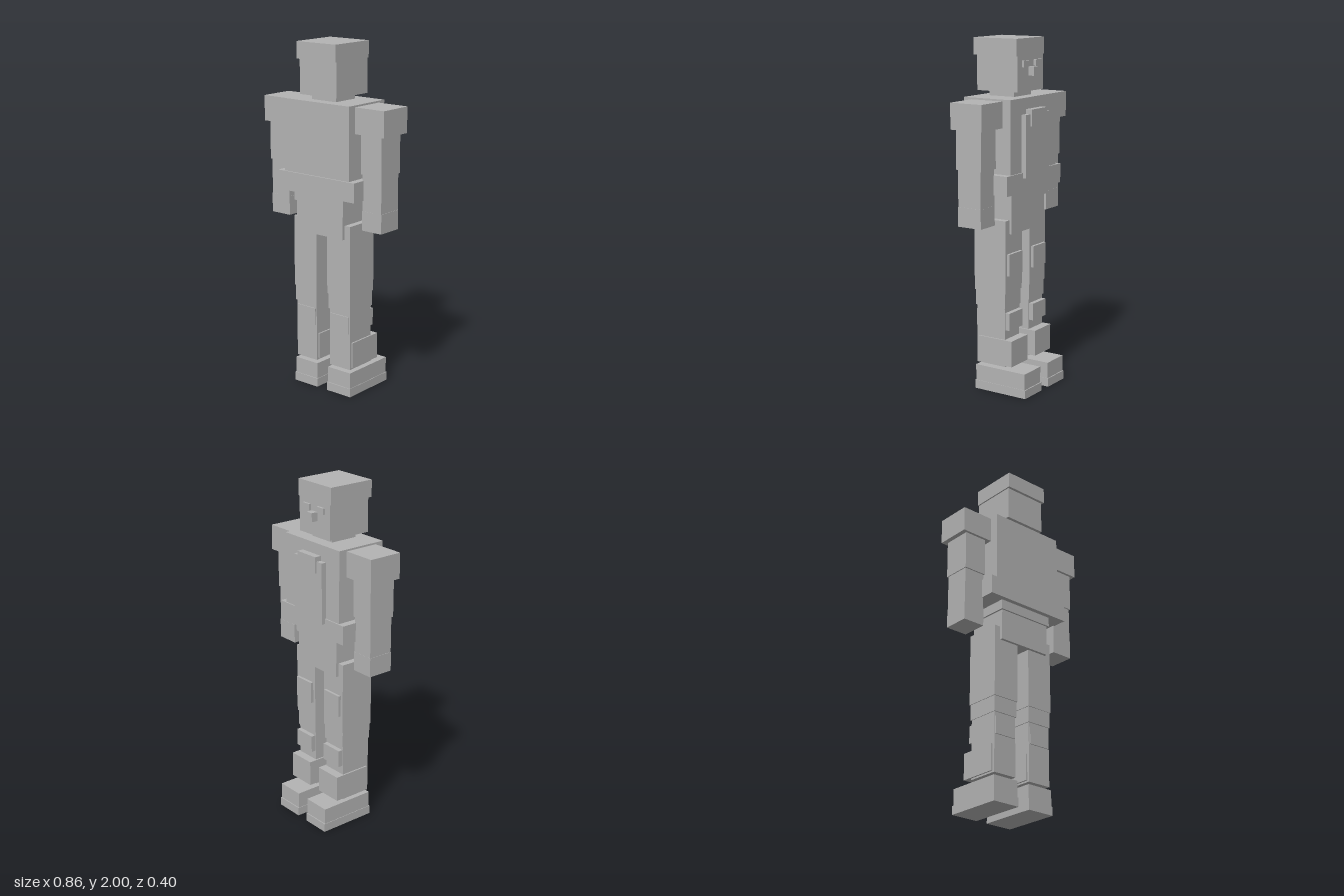
import * as THREE from 'three';

const grey = new THREE.MeshStandardMaterial({ color: 0xb3b3b3 });
grey.name = 'plain grey';

// Box given by its extents along each axis
function box(parent, name, [x0, x1], [y0, y1], [z0, z1]) {
  const mesh = new THREE.Mesh(new THREE.BoxGeometry(x1 - x0, y1 - y0, z1 - z0), grey);
  mesh.position.set((x0 + x1) / 2, (y0 + y1) / 2, (z0 + z1) / 2);
  mesh.name = name;
  parent.add(mesh);
}

// Box centred on x
const mid = (parent, name, half, y, z) => box(parent, name, [-half, half], y, z);

function group(parent, name) {
  const g = new THREE.Group();
  g.name = name;
  parent.add(g);
  return g;
}

export function createModel() {
  const model = new THREE.Group();
  model.name = 'blockFigure';

  // Head with cap and face
  const head = group(model, 'head');
  mid(head, 'skull', 0.13, [1.71, 1.905], [-0.097, 0.17]);
  mid(head, 'cap', 0.138, [1.905, 2], [-0.097, 0.187]);
  mid(head, 'nose', 0.022, [1.795, 1.845], [-0.135, -0.09]);
  mid(head, 'neck', 0.085, [1.67, 1.715], [-0.045, 0.12]);

  // Torso, chest panel, belt and hips
  const body = group(model, 'body');
  mid(body, 'torso', 0.232, [1.2, 1.68], [-0.118, 0.188]);
  mid(body, 'chestPanel', 0.12, [1.24, 1.59], [-0.147, -0.11]);
  mid(body, 'chestClasp', 0.077, [1.525, 1.617], [-0.157, -0.11]);
  mid(body, 'belt', 0.275, [1.16, 1.27], [-0.126, 0.198]);
  mid(body, 'waist', 0.177, [1.105, 1.17], [-0.09, 0.17]);
  mid(body, 'hips', 0.167, [0.927, 1.11], [-0.083, 0.16]);

  // Mirrored parts
  for (const [s, side] of [[1, 'left'], [-1, 'right']]) {
    const pair = (parent, name, a, b, y, z) =>
      box(parent, name, s > 0 ? [a, b] : [-b, -a], y, z);

    pair(head, side + 'Eye', 0.032, 0.088, [1.845, 1.88], [-0.111, -0.09]);

    const arm = group(model, side + 'Arm');
    pair(arm, 'shoulder', 0.232, 0.428, [1.525, 1.67], [-0.067, 0.137]);
    pair(arm, 'upperArm', 0.262, 0.401, [1.305, 1.53], [-0.043, 0.121]);
    pair(arm, 'forearm', 0.267, 0.396, [1.095, 1.31], [-0.036, 0.113]);
    pair(arm, 'hand', 0.265, 0.398, [0.99, 1.1], [-0.037, 0.114]);

    const leg = group(model, side + 'Leg');
    pair(leg, 'thigh', 0.04, 0.205, [0.59, 1.005], [-0.067, 0.143]);
    pair(leg, 'thighPad', 0.058, 0.188, [0.69, 0.815], [-0.083, -0.06]);
    pair(leg, 'knee', 0.044, 0.201, [0.5, 0.595], [-0.062, 0.138]);
    pair(leg, 'shin', 0.049, 0.197, [0.16, 0.505], [-0.056, 0.132]);
    pair(leg, 'shinPad', 0.055, 0.191, [0.375, 0.475], [-0.083, 0.138]);
    pair(leg, 'ankleGuard', 0.04, 0.206, [0.17, 0.32], [-0.107, 0.118]);
    pair(leg, 'shoe', 0.04, 0.204, [0.045, 0.143], [-0.194, 0.138]);
    pair(leg, 'sole', 0.037, 0.207, [0, 0.05], [-0.2, 0.143]);
  }
  return model;
}
